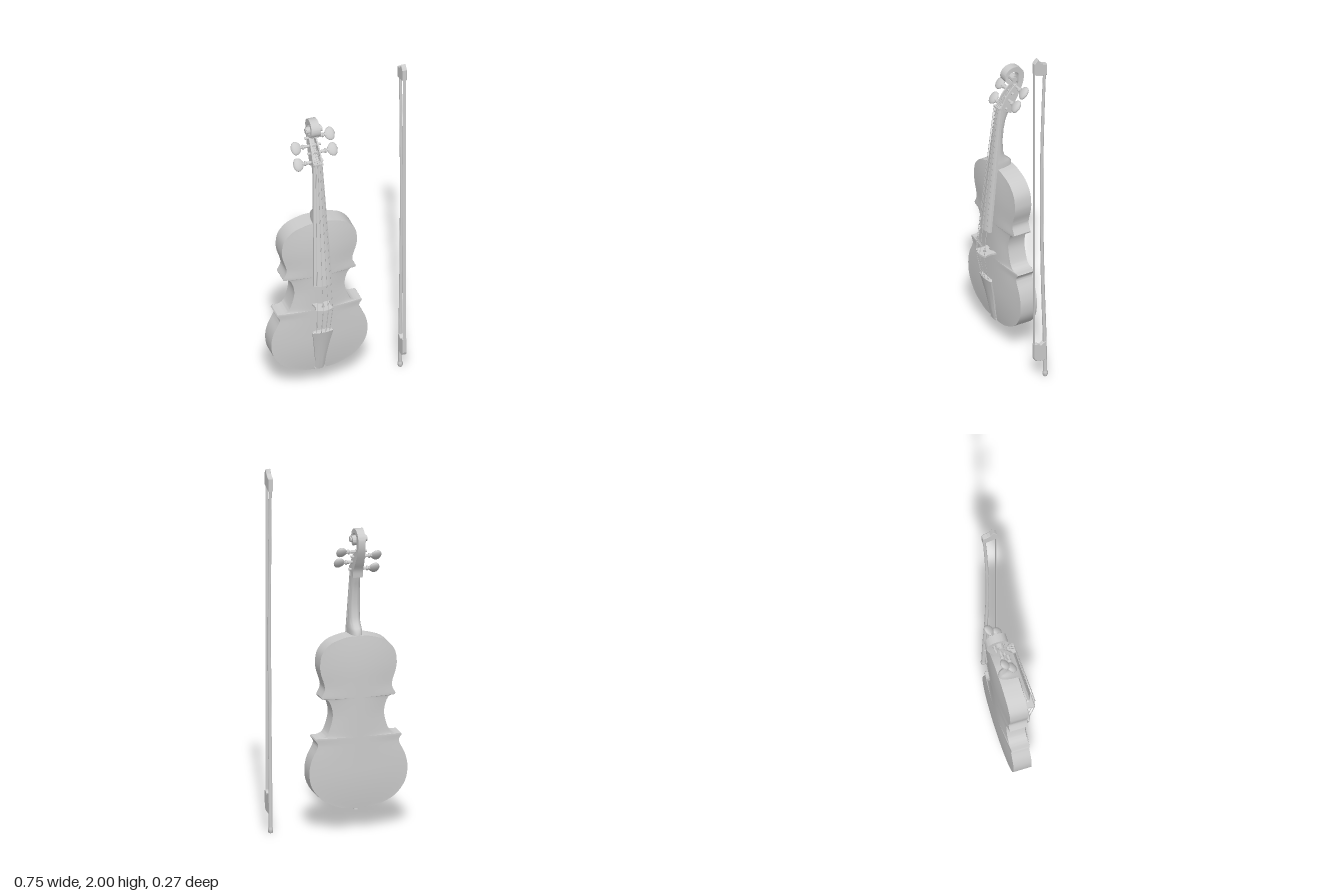
import * as THREE from 'three';
import { toCreasedNormals } from 'three/addons/utils/BufferGeometryUtils.js';

const V = (x, y, z) => new THREE.Vector3(x, y, z);
const lerp = THREE.MathUtils.lerp;
const material = new THREE.MeshStandardMaterial({ color: 0xcccccc });
const thin = new THREE.MeshStandardMaterial({ color: 0xcccccc, side: THREE.DoubleSide });

function add(parent, name, geometry, mat = material) {
  const mesh = new THREE.Mesh(geometry, mat);
  mesh.name = name;
  parent.add(mesh);
  return mesh;
}

// Closed rings joined into a capped solid, turned outward by its signed volume
function loft(rings, crease = 0.6) {
  const n = rings[0].length, tris = [];
  for (let i = 0; i + 1 < rings.length; i++) {
    for (let j = 0; j < n; j++) {
      const k = (j + 1) % n, a = rings[i], b = rings[i + 1];
      tris.push([a[j], a[k], b[k]], [a[j], b[k], b[j]]);
    }
  }
  const cap = (ring, flip) => {
    const c = ring.reduce((s, p) => s.add(p), V(0, 0, 0)).divideScalar(n);
    ring.forEach((p, j) => tris.push(flip ? [c, ring[(j + 1) % n], p] : [c, p, ring[(j + 1) % n]]));
  };
  cap(rings[0], true);
  cap(rings[rings.length - 1], false);
  const volume = tris.reduce((s, [a, b, c]) => s + a.dot(V(0, 0, 0).crossVectors(b, c)), 0);
  const points = tris.flatMap(([a, b, c]) => (volume > 0 ? [a, b, c] : [a, c, b]));
  return toCreasedNormals(new THREE.BufferGeometry().setFromPoints(points), crease);
}

// Regular grid of points f(i, j)
function grid(rows, cols, f, flip) {
  const points = [], index = [];
  for (let i = 0; i <= rows; i++) for (let j = 0; j <= cols; j++) points.push(f(i, j));
  for (let i = 0; i < rows; i++) {
    for (let j = 0; j < cols; j++) {
      const a = i * (cols + 1) + j, b = a + 1, c = a + cols + 1, d = c + 1;
      index.push(...(flip ? [a, c, b, b, c, d] : [a, b, c, b, d, c]));
    }
  }
  const g = new THREE.BufferGeometry().setFromPoints(points);
  g.setIndex(index);
  g.computeVertexNormals();
  return g;
}

const tube = (points, r, segments = 24, sides = 6) =>
  new THREE.TubeGeometry(new THREE.CatmullRomCurve3(points), segments, r, sides);

// Half outline of the body in three bouts, from bottom to top
const bouts = [
  [[0, 0.12], [0.05, 0.122], [0.11, 0.132], [0.2, 0.177], [0.257, 0.25], [0.271, 0.33], [0.258, 0.4], [0.229, 0.46], [0.224, 0.484], [0.24, 0.51]],
  [[0.236, 0.517], [0.2, 0.519], [0.17, 0.54], [0.148, 0.6], [0.142, 0.65], [0.153, 0.7], [0.172, 0.728], [0.202, 0.733]],
  [[0.205, 0.742], [0.186, 0.783], [0.19, 0.82], [0.206, 0.87], [0.212, 0.92], [0.199, 0.985], [0.15, 1.038], [0.08, 1.063], [0.04, 1.069], [0, 1.07]],
];

function addBody(parent) {
  const outline = bouts.flatMap((b) =>
    new THREE.SplineCurve(b.map(([x, y]) => new THREE.Vector2(x, y))).getPoints(36));
  const front = 0.034, back = -0.067, cols = 32, rows = outline.length - 1;
  const plate = (base, height) => (i, j) => {
    const u = (j / cols) * 2 - 1, { x, y } = outline[i];
    const ends = Math.min(1, Math.max(0, Math.min(y - 0.12, 1.07 - y) / 0.22));
    const arch = Math.pow(1 - u * u, 1.2) * (1 - (1 - ends) ** 2);
    return V(x * u, y, base + height * arch);
  };
  add(parent, 'frontPlate', grid(rows, cols, plate(front, 0.019)));
  add(parent, 'backPlate', grid(rows, cols, plate(back, -0.015), true));
  for (const s of [-1, 1]) {
    const rib = grid(rows, 1, (i, j) => V(s * outline[i].x, outline[i].y, j ? front : back), s > 0);
    add(parent, s > 0 ? 'leftRibs' : 'rightRibs', toCreasedNormals(rib.toNonIndexed(), 0.6), thin);
  }
}

const boardZ = (y) => 0.02 + (1.43 - y) * 0.118;

function addNeck(parent) {
  // Neck and heel: y, back z, half width
  const profile = [[1.425, -0.05, 0.026], [1.39, -0.045, 0.026], [1.35, -0.027, 0.027], [1.3, -0.017, 0.028], [1.235, -0.01, 0.03],
    [1.16, -0.013, 0.032], [1.125, -0.027, 0.034], [1.105, -0.05, 0.036], [1.09, -0.064, 0.037], [1.05, -0.067, 0.037]];
  add(parent, 'neck', loft(profile.map(([y, zb, w]) => {
    const zf = boardZ(y) - 0.018;
    return Array.from({ length: 17 }, (_, i) => {
      const a = (i / 16) * Math.PI;
      return V(w * Math.sign(Math.cos(a)) * Math.abs(Math.cos(a)) ** 0.8, y, lerp(zf, zb, Math.sin(a) ** 0.8));
    });
  }), 0.9));
  // Fingerboard with an arched playing surface
  const board = (y, w) => {
    const ring = [V(-w, y, boardZ(y) - 0.024), V(w, y, boardZ(y) - 0.024)];
    for (let i = 0; i <= 12; i++) {
      const u = 1 - i / 6;
      ring.push(V(w * u, y, boardZ(y) - 0.011 * u * u));
    }
    return ring;
  };
  add(parent, 'fingerboard', loft([board(0.7, 0.052), board(1.43, 0.026)]));
  add(parent, 'nut', new THREE.BoxGeometry(0.052, 0.012, 0.026)).position.set(0, 1.434, 0.012);
}

function addScroll(parent) {
  // Open pegbox running into a solid spiral; x holds half width (back) and floor fraction (front)
  const back = [V(0.027, 1.39, -0.055), V(0.027, 1.43, -0.062), V(0.025, 1.475, -0.09), V(0.022, 1.53, -0.12), V(0.02, 1.575, -0.135)];
  const front = [V(1, 1.43, 0.012), V(0.3, 1.455, -0.003), V(0.3, 1.5, -0.028), V(0.35, 1.545, -0.07), V(1, 1.575, -0.102)];
  for (let d = 10; d <= 540; d += 20) {
    const a = THREE.MathUtils.degToRad(d), r = 0.076 * Math.exp(-d / 345);
    const at = (x, q) => V(x, 1.608 + q * Math.sin(a), -0.063 - q * Math.cos(a));
    back.push(at(lerp(0.02, 0.044, Math.min(1, d / 480) ** 1.3), r));
    front.push(at(1, r * 0.55));
  }
  const b = new THREE.CatmullRomCurve3(back), f = new THREE.CatmullRomCurve3(front), steps = 110;
  const rings = Array.from({ length: steps + 1 }, (_, i) => {
    const p = b.getPoint(i / steps), q = f.getPoint(i / steps);
    const floor = Math.min(1, q.x), w = p.x, c = w - 0.008;
    const at = (x, t) => V(x, lerp(p.y, q.y, t), lerp(p.z, q.z, t));
    return [at(-w, 0), at(w, 0), at(w, 1), at(c, 1), at(c, floor), at(-c, floor), at(-c, 1), at(-w, 1)];
  });
  add(parent, 'pegboxAndScroll', loft(rings, 0.7));
  const eye = add(parent, 'scrollEye', new THREE.CylinderGeometry(0.015, 0.015, 0.094, 20));
  eye.rotation.z = Math.PI / 2;
  eye.position.set(0, 1.608, -0.063);
}

const pegs = [[-1, 1.43, -0.022], [1, 1.475, -0.04], [-1, 1.51, -0.062], [1, 1.545, -0.087]];

function addPegs(parent) {
  const shaft = [[0, -0.04], [0.007, -0.04], [0.008, 0.03], [0.009, 0.055], [0.013, 0.058], [0.013, 0.064], [0.008, 0.068], [0.011, 0.078], [0, 0.08]]
    .map(([r, h]) => new THREE.Vector2(r, h));
  const head = [[0, 0.07], [0.014, 0.073], [0.028, 0.083], [0.036, 0.098], [0.034, 0.113], [0.022, 0.123], [0.008, 0.127], [0, 0.13]]
    .map(([r, h]) => new THREE.Vector2(r, h));
  for (const [side, y, z] of pegs) {
    const peg = new THREE.Group();
    peg.name = 'tuningPeg';
    add(peg, 'pegShaft', toCreasedNormals(new THREE.LatheGeometry(shaft, 16), 0.7));
    add(peg, 'pegHead', new THREE.LatheGeometry(new THREE.SplineCurve(head).getPoints(20), 24)).scale.z = 0.42;
    peg.position.set(0, y, z);
    // Shaft along x, flat of the head along the pegbox
    const out = V(side, 0, 0), along = V(0, 0.78, -0.62);
    peg.quaternion.setFromRotationMatrix(new THREE.Matrix4().makeBasis(along, out, along.clone().cross(out)));
    parent.add(peg);
  }
}

function addFittings(parent) {
  // Bridge: arched top, waisted sides and an opening between the feet
  const s = new THREE.Shape();
  s.moveTo(-0.05, 0.04);
  s.lineTo(-0.048, 0.055);
  s.quadraticCurveTo(-0.034, 0.08, -0.05, 0.118);
  s.quadraticCurveTo(0, 0.152, 0.05, 0.118);
  s.quadraticCurveTo(0.034, 0.08, 0.048, 0.055);
  s.lineTo(0.05, 0.04);
  s.lineTo(0.027, 0.04);
  s.quadraticCurveTo(0, 0.09, -0.027, 0.04);
  s.holes.push(new THREE.Path().absellipse(0, 0.095, 0.011, 0.009, 0, Math.PI * 2, true));
  const bridge = add(parent, 'bridge', new THREE.ExtrudeGeometry(s, { depth: 0.01, bevelEnabled: false, curveSegments: 12 }));
  bridge.rotation.x = Math.PI / 2;
  bridge.scale.y = -1; // keeps the arch facing +z
  bridge.geometry.scale(1, -1, 1);
  bridge.scale.y = 1;
  bridge.geometry.scale(1, -1, 1);
  bridge.position.y = 0.56;

  // Tailpiece: y, half width, top z
  const tail = [[0.402, 0.05, 0.098], [0.395, 0.058, 0.102], [0.3, 0.043, 0.08], [0.2, 0.03, 0.062], [0.125, 0.027, 0.046]];
  add(parent, 'tailpiece', loft(tail.map(([y, w, z]) => {
    const ring = [V(-w, y, z - 0.018), V(w, y, z - 0.018)];
    for (let i = 0; i <= 8; i++) ring.push(V(w * (1 - i / 4), y, z - 0.009 * (1 - i / 4) ** 2));
    return ring;
  })));
  add(parent, 'saddle', new THREE.BoxGeometry(0.06, 0.014, 0.012)).position.set(0, 0.128, 0.036);
  add(parent, 'endButton', new THREE.CylinderGeometry(0.012, 0.015, 0.026, 16)).position.set(0, 0.113, -0.018);
  for (const x of [-0.012, 0.012]) {
    add(parent, 'tailCord', tube([V(x, 0.14, 0.034), V(x, 0.118, 0.034), V(x, 0.112, 0.01), V(x, 0.112, -0.018)], 0.003));
  }
  // Strings from tailpiece over bridge and nut to the pegs
  [-1.5, -0.5, 0.5, 1.5].forEach((k, i) => {
    const peg = pegs[[0, 2, 3, 1][i]];
    const path = new THREE.CurvePath();
    const pts = [V(k * 0.024, 0.39, 0.1 - 0.003 * k * k), V(k * 0.029, 0.555, 0.137 - 0.006 * k * k),
      V(k * 0.012, 1.437, 0.027), V(k * 0.008, peg[1] + 0.008, peg[2] + 0.006)];
    for (let j = 0; j < 3; j++) path.add(new THREE.LineCurve3(pts[j], pts[j + 1]));
    add(parent, 'string', new THREE.TubeGeometry(path, 60, 0.0018, 5));
  });
}

function addBow(parent) {
  // Cambered stick, tapering to the head
  const line = new THREE.CatmullRomCurve3([V(0, 0.03, 0), V(0, 0.25, 0.004), V(0, 0.6, 0.015), V(0, 1, 0.022), V(0, 1.4, 0.02), V(0, 1.7, 0.012), V(0, 1.93, 0.003)]);
  add(parent, 'bowStick', loft(Array.from({ length: 41 }, (_, i) => {
    const p = line.getPoint(i / 40), r = lerp(0.011, 0.008, i / 40);
    return Array.from({ length: 12 }, (_, j) => V(r * Math.cos(j * Math.PI / 6), p.y, p.z + r * Math.sin(j * Math.PI / 6)));
  }), 0.8));
  const knob = [[0, 0], [0.01, 0], [0.014, 0.008], [0.014, 0.024], [0.01, 0.034], [0.0105, 0.05], [0, 0.05]].map(([r, y]) => new THREE.Vector2(r, y));
  add(parent, 'bowScrew', toCreasedNormals(new THREE.LatheGeometry(knob, 16), 0.7));
  // Side profiles given as z, y
  const slab = (name, pts, width) => {
    const shape = new THREE.Shape(pts.map(([z, y]) => new THREE.Vector2(-z, y)));
    const g = new THREE.ExtrudeGeometry(shape, { depth: width - 0.004, bevelSize: 0.002, bevelThickness: 0.002, bevelOffset: -0.002, bevelSegments: 1 });
    g.translate(0, 0, 0.002 - width / 2);
    add(parent, name, g.rotateY(Math.PI / 2));
  };
  slab('bowHead', [[0.048, 2], [0.036, 1.977], [0.02, 1.964], [-0.006, 1.956], [-0.006, 1.888], [0.02, 1.892], [0.045, 1.9], [0.073, 1.91], [0.073, 1.975], [0.062, 1.988]], 0.026);
  slab('bowFrog', [[0, 0.105], [0.045, 0.108], [0.066, 0.118], [0.073, 0.135], [0.073, 0.22], [0.05, 0.218], [0.035, 0.205], [0.02, 0.215], [0, 0.22]], 0.024);
  add(parent, 'bowHair', new THREE.BoxGeometry(0.016, 1.72, 0.002)).position.set(0, 1.06, 0.07);
}

export function createModel() {
  const model = new THREE.Group();
  model.name = 'violinAndBow';
  const violin = new THREE.Group();
  violin.name = 'violin';
  violin.position.x = -0.107;
  addBody(violin);
  addNeck(violin);
  addScroll(violin);
  addPegs(violin);
  addFittings(violin);
  const bow = new THREE.Group();
  bow.name = 'bow';
  bow.position.x = 0.36;
  addBow(bow);
  model.add(violin, bow);
  return model;
}
